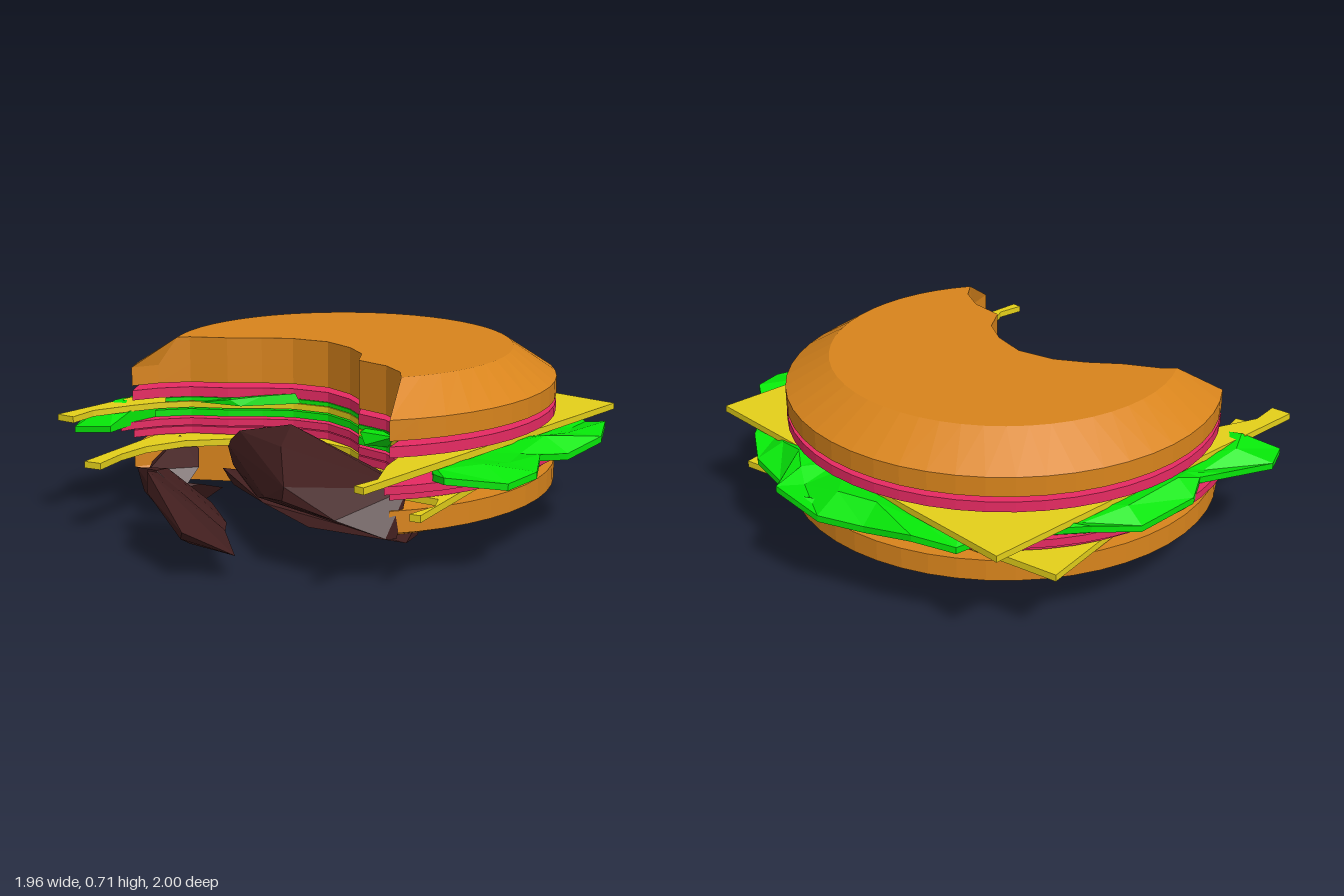
import * as THREE from 'three';
import { ConvexGeometry } from 'three/addons/geometries/ConvexGeometry.js';

const CX = -0.06; // centre of the round layers
const V2 = (x, z) => new THREE.Vector2(x, z);

// Bite edge in (x, z), from the left tip round to the right tip
const BITE = [[-0.79, 0.9], [-0.76, 0.66], [-0.725, 0.51], [-0.68, 0.41], [-0.6, 0.31], [-0.47, 0.23],
  [-0.365, 0.14], [-0.26, 0.07], [-0.11, 0.03], [0.03, 0.06], [0.14, 0.12], [0.21, 0.22],
  [0.35, 0.23], [0.455, 0.28], [0.56, 0.4], [0.61, 0.545], [0.65, 0.66], [0.69, 0.9]].map(p => V2(...p));

function material(name, color) {
  const m = new THREE.MeshStandardMaterial({ color, side: THREE.DoubleSide });
  m.name = name;
  return m;
}

// Disc outline of radius r with the bite taken out, counter-clockwise from above
function bittenDisc(r, n = 36) {
  const dist = p => Math.hypot(p.x - CX, p.y);
  const first = BITE.findIndex(p => dist(p) < r);
  const last = BITE.findLastIndex(p => dist(p) < r);
  const cross = (a, b) => a.clone().lerp(b, (r - dist(a)) / (dist(b) - dist(a)));
  const left = cross(BITE[first], BITE[first - 1]);
  const right = cross(BITE[last], BITE[last + 1]);
  const a0 = Math.atan2(right.y, right.x - CX);
  const a1 = Math.atan2(left.y, left.x - CX) - Math.PI * 2;
  const pts = [];
  for (let i = 0; i <= n; i++) {
    const a = a0 + (a1 - a0) * i / n;
    pts.push(V2(CX + r * Math.cos(a), r * Math.sin(a)));
  }
  BITE.forEach((p, i) => pts.push(i < first ? left : i > last ? right : p));
  return pts;
}

// Solid through a stack of matching outlines, with flat caps
function loft(levels) {
  const pos = [];
  const put = (p, y) => pos.push(p.x, y, p.y);
  for (let k = 0; k + 1 < levels.length; k++) {
    const [y0, lo] = levels[k], [y1, hi] = levels[k + 1];
    lo.forEach((p, i) => {
      const j = (i + 1) % lo.length;
      put(p, y0); put(lo[j], y0); put(hi[j], y1);
      put(p, y0); put(hi[j], y1); put(hi[i], y1);
    });
  }
  for (const [[y, ring], up] of [[levels[0], false], [levels.at(-1), true]]) {
    const clean = ring.filter((p, i) => p.distanceTo(ring[(i + 1) % ring.length]) > 1e-5);
    for (const t of THREE.ShapeUtils.triangulateShape(clean, [])) {
      const [a, b, c] = t.map(i => clean[i]);
      const facesUp = (b.x - a.x) * (c.y - a.y) - (b.y - a.y) * (c.x - a.x) < 0;
      for (const p of facesUp === up ? [a, b, c] : [a, c, b]) put(p, y);
    }
  }
  return finish(pos);
}

function finish(pos) {
  const g = new THREE.BufferGeometry();
  g.setAttribute('position', new THREE.Float32BufferAttribute(pos, 3));
  g.computeVertexNormals();
  return g;
}

const round = levels => loft(levels.map(([y, r]) => [y, bittenDisc(r)]));
const slab = (y0, y1, pts) => loft([[y0, pts], [y1, pts]]);
const hull = pts => new ConvexGeometry(pts.map(p => new THREE.Vector3(...p)));

// Ruffled lettuce rim: a thin strip from inside the stack to a wavy outer edge
function ruffle(edge) {
  const section = edge.map(([x, z, y]) => {
    const iz = Math.min(0.72 * z / Math.hypot(x - CX, z), 0.28);
    const ix = CX + Math.sign(x - CX) * Math.sqrt(0.72 ** 2 - iz ** 2);
    const mx = ix + (x - ix) * 0.6, mz = iz + (z - iz) * 0.6, my = 0.7 - 0.75 * y;
    return [[ix, 0.385, iz], [mx, my - 0.03, mz], [x, y - 0.015, z],
      [x, y + 0.01, z], [mx, my + 0.015, mz], [ix, 0.414, iz]];
  });
  const pos = [];
  for (let i = 0; i + 1 < section.length; i++) {
    const a = section[i], b = section[i + 1];
    for (let k = 0; k < 6; k++) {
      const j = (k + 1) % 6;
      pos.push(...a[k], ...a[j], ...b[j], ...a[k], ...b[j], ...b[k]);
    }
  }
  for (const [s, flip] of [[section[0], true], [section.at(-1), false]]) {
    for (let k = 1; k < 5; k++) {
      pos.push(...s[0], ...(flip ? s[k + 1] : s[k]), ...(flip ? s[k] : s[k + 1]));
    }
  }
  return finish(pos);
}

export function createModel() {
  const bun = material('bun', 0xd8841c);
  const tomato = material('tomato', 0xe62a62);
  const cheese = material('cheese', 0xe4d01a);
  const lettuce = material('lettuce', 0x06e808);
  const meat = material('meat', 0x421f1f);
  const group = new THREE.Group();
  group.name = 'bittenBurger';
  const add = (name, geometry, mat) => {
    const mesh = new THREE.Mesh(geometry, mat);
    mesh.name = name;
    group.add(mesh);
  };

  // Buns
  add('bottomBun', round([[0.115, 0.64], [0.19, 0.84], [0.272, 0.84]]), bun);
  add('topBun', round([[0.525, 0.84], [0.6, 0.84], [0.71, 0.67]]), bun);

  // Tomato slices
  add('lowerTomato', round([[0.312, 0.84], [0.342, 0.84]]), tomato);
  add('middleTomato', round([[0.346, 0.885], [0.376, 0.885]]), tomato);
  add('upperTomato', round([[0.465, 0.84], [0.505, 0.84]]), tomato);

  // Cheese slices, the lower one turned
  add('upperCheese', slab(0.42, 0.445, [V2(0.72, 0.8), V2(0.72, -0.77), V2(-0.84, -0.77), V2(-0.84, 0.8),
    V2(-0.76, 0.79), V2(-0.78, 0.67), ...BITE.slice(2, 16), V2(0.69, 0.69), V2(0.68, 0.8)]), cheese);
  add('lowerCheese', slab(0.28, 0.306, [V2(0.78, 0.57), V2(0.5, -0.83), V2(-0.9, -0.55), V2(-0.62, 0.86),
    V2(-0.55, 0.84), V2(-0.59, 0.7), V2(-0.6, 0.56), V2(-0.55, 0.4), V2(-0.42, 0.25),
    V2(-0.25, 0.1), V2(-0.1, 0.06), ...BITE.slice(9, 15), V2(0.71, 0.38), V2(0.75, 0.45), V2(0.74, 0.58)]), cheese);

  // Lettuce: flat leaves inside, curls poking into the bite, and ruffles around the rim
  add('lettuceLeaf', round([[0.386, 0.76], [0.414, 0.76]]), lettuce);
  add('upperLettuceLeaf', round([[0.447, 0.72], [0.463, 0.72]]), lettuce);
  add('lettuceCurl', hull([[-0.56, 0.445, 0.3], [-0.44, 0.465, 0.25], [-0.34, 0.48, 0.17], [-0.24, 0.49, 0.08],
    [-0.22, 0.45, 0.07], [-0.4, 0.44, 0.23], [-0.35, 0.45, 0.05], [-0.55, 0.45, 0.22]]), lettuce);
  add('rightLettuceCurl', hull([[0.25, 0.45, 0.26], [0.29, 0.41, 0.28], [0.36, 0.44, 0.26], [0.42, 0.46, 0.27],
    [0.24, 0.46, 0.18], [0.42, 0.4, 0.2], [0.25, 0.4, 0.2]]), lettuce);
  add('lettuceRuffle', ruffle([[-0.73, 0.63, 0.37], [-0.9, 0.67, 0.35], [-0.98, 0.52, 0.37], [-0.95, 0.27, 0.41],
    [-0.9, 0.19, 0.4], [-0.95, 0.1, 0.37], [-0.97, -0.2, 0.38], [-0.9, -0.38, 0.42], [-0.75, -0.5, 0.39],
    [-0.68, -0.66, 0.4], [-0.64, -0.77, 0.38], [-0.5, -0.85, 0.4], [-0.3, -0.9, 0.37], [-0.13, -0.97, 0.37],
    [0.07, -1, 0.42], [0.14, -0.95, 0.37], [0.22, -0.88, 0.34], [0.37, -0.87, 0.37], [0.5, -0.79, 0.4],
    [0.68, -0.62, 0.38], [0.82, -0.54, 0.42], [0.89, -0.4, 0.4], [0.87, -0.2, 0.37], [0.88, 0, 0.41],
    [0.98, 0.17, 0.4], [0.95, 0.3, 0.38], [0.78, 0.44, 0.4], [0.7, 0.4, 0.39]]), lettuce);

  // Torn meat: a ridged piece across the bite and a slab under the bun
  add('meatPiece', hull([[-0.46, 0.28, 0.25], [-0.42, 0.2, 0.26], [-0.35, 0.36, 0.29], [-0.26, 0.25, 0.12],
    [-0.1, 0.24, 0.05], [-0.06, 0.435, 0.3], [0.14, 0.25, 0.13], [0.15, 0.39, 0.32], [0.07, 0.41, 0.5],
    [0.4, 0.35, 0.34], [0.62, 0.34, 0.44], [0.62, 0.17, 0.5], [0.61, 0.18, 0.55], [0.48, 0.25, 0.67],
    [0.25, 0.28, 0.69], [0.25, 0.33, 0.68], [0.08, 0.24, 0.6], [-0.1, 0.17, 0.45], [-0.3, 0.13, 0.29],
    [0.15, 0.15, 0.35]]), meat);
  add('meatUnderside', hull([[0.18, 0, -0.08], [-0.15, 0.06, 0.02], [-0.3, 0.1, 0.12], [0.12, 0.12, -0.13],
    [0.48, 0.08, 0.2], [0.6, 0.13, 0.42], [0.45, 0.12, 0.42], [0.15, 0.1, 0.44], [-0.1, 0.14, 0.42],
    [-0.46, 0.1, 0.22], [-0.47, 0.18, 0.27], [0.4, 0.13, 0.05]]), meat);

  // Loose scraps: a tilted one in front and a small one by the right tip
  add('frontScrapInner', hull([[-0.45, 0.23, 0.63], [-0.4, 0.18, 0.56], [-0.28, 0.13, 0.52], [-0.2, 0.12, 0.6],
    [-0.08, 0.12, 0.64], [0, 0.11, 0.73], [-0.42, 0.3, 0.77], [-0.28, 0.32, 0.8], [-0.3, 0.09, 0.6],
    [-0.35, 0.29, 0.68], [-0.12, 0.12, 0.84], [-0.42, 0.2, 0.74]]), meat);
  add('frontScrapTip', hull([[-0.28, 0.31, 0.79], [-0.2, 0.36, 0.92], [0, 0.13, 0.73], [0.15, 0.09, 0.83],
    [0.06, 0.2, 1], [-0.19, 0.28, 0.93], [-0.05, 0.1, 0.86], [-0.1, 0.12, 0.72], [0.02, 0.16, 0.97]]), meat);
  add('sideScrapUpper', hull([[-0.72, 0.2, 0.42], [-0.7, 0.12, 0.3], [-0.62, 0.31, 0.36], [-0.52, 0.27, 0.35],
    [-0.45, 0.22, 0.42], [-0.46, 0.14, 0.5], [-0.57, 0.22, 0.58], [-0.6, 0.1, 0.52]]), meat);
  add('sideScrapLower', hull([[-0.7, 0.07, 0.34], [-0.66, 0.15, 0.5], [-0.55, 0.03, 0.33], [-0.5, 0.05, 0.37],
    [-0.45, 0.15, 0.42], [-0.5, 0.13, 0.54], [-0.6, 0.17, 0.57], [-0.62, 0.08, 0.26], [-0.44, 0.11, 0.3]]), meat);

  return group;
}
